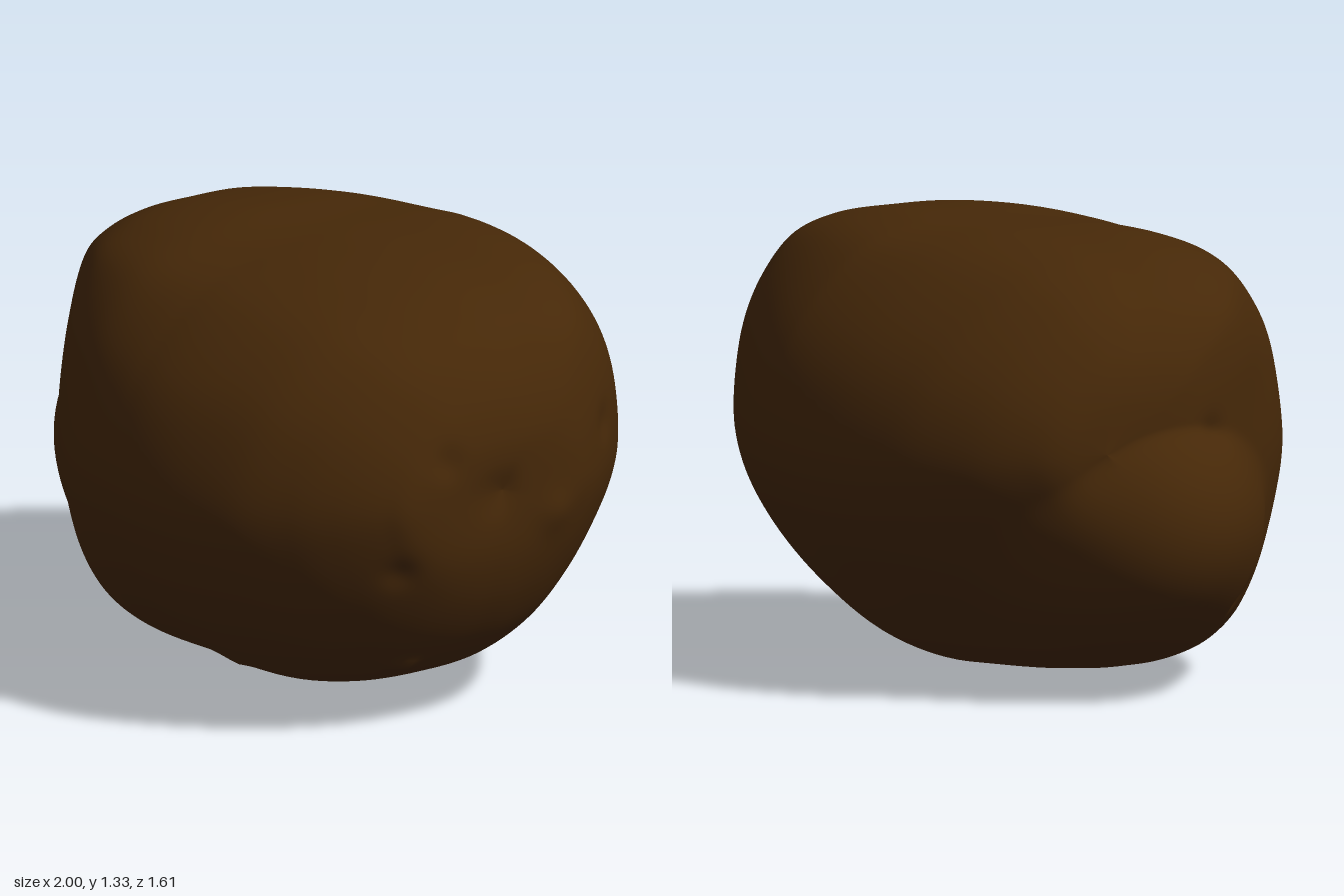
import * as THREE from 'three';

// Body sections along x: [x, bottom y, top y, back z, front z]
const SECTIONS = [
  [-0.87, 0.76, 0.76, -0.18, -0.18], [-0.85, 0.55, 0.93, -0.32, 0.05],
  [-0.8, 0.4, 1.06, -0.42, 0.2], [-0.7, 0.24, 1.18, -0.54, 0.36],
  [-0.55, 0.12, 1.26, -0.65, 0.51], [-0.4, 0.05, 1.3, -0.72, 0.63],
  [-0.2, 0.015, 1.325, -0.78, 0.73], [0, 0.005, 1.33, -0.81, 0.78],
  [0.2, 0.005, 1.335, -0.8, 0.8], [0.4, 0.03, 1.325, -0.75, 0.78],
  [0.6, 0.1, 1.295, -0.67, 0.72], [0.75, 0.185, 1.245, -0.57, 0.62],
  [0.85, 0.275, 1.18, -0.47, 0.52], [0.93, 0.4, 1.07, -0.36, 0.41],
  [0.975, 0.53, 0.95, -0.25, 0.32], [0.985, 0.65, 0.85, -0.08, 0.15],
  [0.965, 0.76, 0.76, 0, 0],
];

// Lopsided outline shared by all sections: [z, y], from the front over the top
const OUTLINE = [
  [0.81, 0.67], [0.77, 0.87], [0.675, 1.05], [0.5, 1.21], [0.3, 1.29], [0.08, 1.33],
  [-0.12, 1.335], [-0.32, 1.325], [-0.5, 1.265], [-0.66, 1.12], [-0.76, 0.95],
  [-0.805, 0.74], [-0.785, 0.58], [-0.7, 0.42], [-0.56, 0.25], [-0.38, 0.1],
  [-0.18, 0.018], [0.02, 0.005], [0.18, 0.018], [0.35, 0.065], [0.52, 0.16],
  [0.67, 0.31], [0.77, 0.49],
];

// Small eyes and bumps: [x, y, z, radius, height]
const SPOTS = [
  [0.96, 0.54, 0.36, 0.05, -0.02], [0.9, 0.86, -0.46, 0.05, -0.02],
  [0.75, 0.19, 0.2, 0.045, 0.025], [0.84, 0.34, 0.45, 0.05, -0.015],
  [0.97, 0.88, 0.2, 0.05, -0.012], [0.97, 0.66, -0.18, 0.06, 0.012],
  [0.22, 0.12, 0.42, 0.03, 0.012], [-0.16, 0.22, 0.55, 0.03, 0.012],
  [-0.79, 0.78, 0.2, 0.05, -0.02], [-0.7, 0.27, 0.36, 0.05, -0.02],
];

const LOBE = new THREE.Vector3(-0.5, 0.52, 0.03);
const LOBE_RADII = new THREE.Vector3(0.5, 0.4, 0.41);
const CORE = new THREE.Vector3(-0.2, 0.62, 0);

// Distance from the core, which lies inside the lobe, to the lobe's surface
function lobeReach(dir) {
  const o = CORE.clone().sub(LOBE).divide(LOBE_RADII);
  const d = dir.clone().divide(LOBE_RADII);
  const a = d.dot(d), b = o.dot(d);
  return (-b + Math.sqrt(b * b - a * (o.dot(o) - 1))) / a;
}

function smoothMax(a, b, k) {
  const h = Math.max(k - Math.abs(a - b), 0) / k;
  return Math.max(a, b) + h * h * k * 0.25;
}

// Swell the lobe out of the body and add the surface marks
function sculpt(p) {
  const dir = p.clone().sub(CORE);
  let r = dir.length();
  dir.normalize();
  // crease is crisp above, soft below
  const soft = 1 - THREE.MathUtils.smoothstep(p.y, 0.5, 0.85);
  r = smoothMax(r, lobeReach(dir), 0.02 + 0.12 * soft);
  const q = CORE.clone().addScaledVector(dir, r);
  for (const [x, y, z, size, height] of SPOTS) {
    const d2 = (q.x - x) ** 2 + (q.y - y) ** 2 + (q.z - z) ** 2;
    r += height * Math.exp(-d2 / (size * size));
  }
  r += 0.003 * Math.sin(9 * q.x + 4 * q.z) * Math.sin(8 * q.y - 5 * q.z + 1);
  return CORE.clone().addScaledVector(dir, r);
}

// Ridges lean forward towards the lobe end, the top one back at the other end
function lean(x, up) {
  if (x < 0.1) return 0.5 * (0.1 - x) * up * up;
  return up > 0 ? -0.22 * (x - 0.1) * up * up : 0;
}

function smoothCurve(points, closed = false) {
  return new THREE.CatmullRomCurve3(points, closed, 'catmullrom', 0.5);
}

function tuberGeometry(rings = 150, sides = 161) {
  const heights = smoothCurve(SECTIONS.map((s) => new THREE.Vector3(s[0], s[1], s[2])));
  const depths = smoothCurve(SECTIONS.map((s) => new THREE.Vector3(s[0], s[3], s[4])));
  const outline = smoothCurve(OUTLINE.map(([z, y]) =>
    new THREE.Vector3(0, (y - 0.67) / 0.665, z / 0.81)), true);
  const positions = [], index = [];
  for (let i = 0; i <= rings; i++) {
    const h = heights.getPoint(i / rings), w = depths.getPoint(i / rings);
    for (let j = 0; j < sides; j++) {
      const u = outline.getPoint(j / sides);
      const p = sculpt(new THREE.Vector3(h.x,
        (h.y + h.z) / 2 + u.y * (h.z - h.y) / 2,
        (w.y + w.z) / 2 + (u.z + lean(h.x, u.y)) * (w.z - w.y) / 2));
      positions.push(p.x, p.y, p.z);
      if (i === rings) continue;
      const a = i * sides + j, b = i * sides + (j + 1) % sides;
      // the first and last rings are points, so they take one triangle per side
      if (i > 0) index.push(a, a + sides, b);
      if (i < rings - 1) index.push(a + sides, b + sides, b);
    }
  }
  const geometry = new THREE.BufferGeometry();
  geometry.setAttribute('position', new THREE.Float32BufferAttribute(positions, 3));
  geometry.setIndex(index);
  geometry.computeVertexNormals();
  return geometry;
}

export function createModel() {
  const group = new THREE.Group();
  group.name = 'potato';
  const skin = new THREE.MeshStandardMaterial({ color: 0x462808 });
  const tuber = new THREE.Mesh(tuberGeometry(), skin);
  tuber.name = 'tuber';
  group.add(tuber);
  return group;
}
